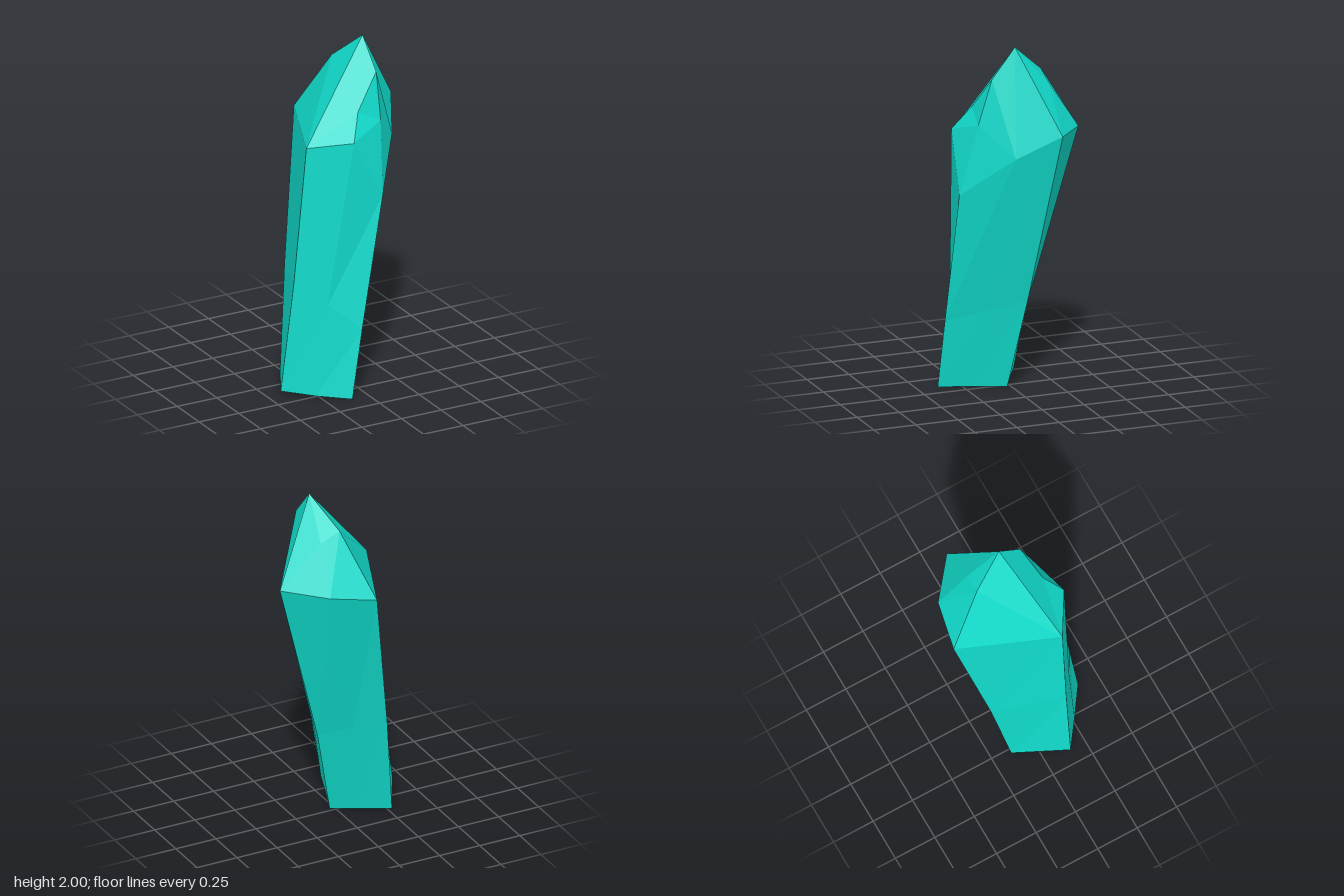
import * as THREE from 'three';

// Cross-sections of the leaning shaft, seven columns each, counterclockwise from above
const foot = [[-0.43, 0.03, 0.15], [-0.27, 0.01, 0.265], [-0.105, 0, 0.38], [-0.04, 0, 0.2], [0.03, 0, 0.02], [-0.13, 0, -0.06], [-0.275, 0, -0.14]];
const waist = [[-0.355, 0.67, 0.165], [-0.2, 0.54, 0.27], [-0.035, 0.4, 0.365], [0.06, 0.46, 0.15], [0.145, 0.52, -0.055], [-0.03, 0.57, -0.145], [-0.2, 0.6, -0.225]];
const shoulder = [[-0.285, 1.465, 0.18], [-0.06, 1.5, 0.317], [0.11, 1.165, 0.337], [0.31, 1.4, 0.08], [0.43, 1.54, -0.15], [0.21, 1.52, -0.33], [-0.055, 1.47, -0.38]];

function facetMesh(name, triangles, material) {
  const geometry = new THREE.BufferGeometry();
  geometry.setAttribute('position', new THREE.Float32BufferAttribute(triangles.flat(2), 3));
  geometry.computeVertexNormals();
  const mesh = new THREE.Mesh(geometry, material);
  mesh.name = name;
  return mesh;
}

// Side facets between two cross-sections
function band(lower, upper) {
  const triangles = [];
  lower.forEach((a, i) => {
    const j = (i + 1) % lower.length;
    triangles.push([a, lower[j], upper[j]], [a, upper[j], upper[i]]);
  });
  return triangles;
}

export function createModel() {
  const group = new THREE.Group();
  group.name = 'crystal';
  const material = new THREE.MeshStandardMaterial({ color: 0x10d8c8, flatShading: true });

  // Shaft, slightly bent at the waist
  group.add(facetMesh('shaft', [...band(foot, waist), ...band(waist, shoulder)], material));

  // Underside
  const base = [];
  for (let i = 1; i < foot.length - 1; i++) base.push([foot[0], foot[i + 1], foot[i]]);
  group.add(facetMesh('base', base, material));

  // Pointed tip with its irregular facets
  const [left, frontEdge, front, rightFront, right, backRight, back] = shoulder;
  const apex = [0.155, 2, 0.025];
  const notch = [0.015, 1.64, 0.225];
  const ridgeLow = [0.15, 1.57, 0.24];
  const ridgeHigh = [0.163, 1.83, 0.165];
  const backRidge = [0.065, 1.83, -0.165];
  const backBevel = [0.183, 1.78, -0.165];
  group.add(facetMesh('tip', [
    [left, frontEdge, notch], [left, notch, apex],
    [frontEdge, front, ridgeLow], [frontEdge, ridgeLow, notch],
    [notch, ridgeLow, ridgeHigh], [notch, ridgeHigh, apex],
    [front, rightFront, ridgeLow], [rightFront, ridgeHigh, ridgeLow],
    [rightFront, apex, ridgeHigh], [rightFront, right, apex],
    [right, backRight, backBevel], [right, backBevel, apex],
    [backRight, back, backRidge], [backRight, backRidge, backBevel],
    [backBevel, backRidge, apex],
    [back, left, backRidge], [left, apex, backRidge],
  ], material));
  return group;
}
